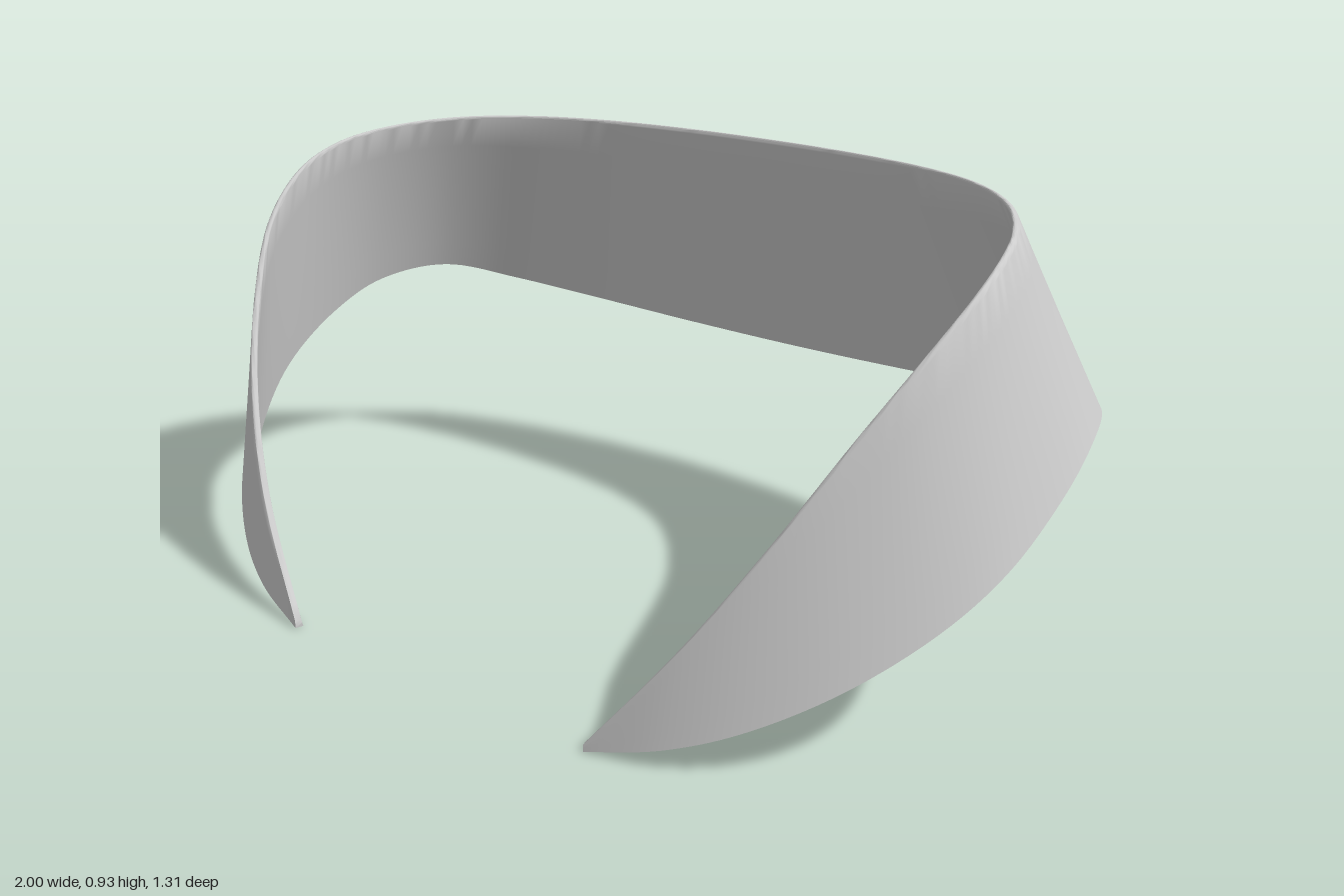
import * as THREE from 'three';
import { toCreasedNormals } from 'three/addons/utils/BufferGeometryUtils.js';

// Half of each outer edge, from centre back round to the left front tip
const LOWER = [
  [0, 0.39, -0.655], [0.3, 0.4, -0.636], [0.6, 0.43, -0.575], [0.8, 0.468, -0.48],
  [0.92, 0.513, -0.33], [0.982, 0.5, -0.15], [1, 0.445, 0], [0.985, 0.355, 0.17],
  [0.93, 0.272, 0.3], [0.82, 0.175, 0.44], [0.68, 0.092, 0.55], [0.55, 0.04, 0.614], [0.4, 0, 0.655],
];
const UPPER = [
  [0, 0.93, -0.457], [0.22, 0.93, -0.448], [0.44, 0.93, -0.411], [0.61, 0.93, -0.34],
  [0.75, 0.928, -0.216], [0.84, 0.914, -0.07], [0.878, 0.89, 0.05], [0.886, 0.845, 0.16],
  [0.857, 0.755, 0.28], [0.79, 0.62, 0.388], [0.695, 0.44, 0.492], [0.57, 0.24, 0.58], [0.4, 0.016, 0.655],
];

// Mirrors a half edge into one smooth curve from right tip to left tip
function edgeCurve(half) {
  const left = half.map(p => new THREE.Vector3(...p));
  const right = half.slice(1).reverse().map(([x, y, z]) => new THREE.Vector3(-x, y, z));
  return new THREE.CatmullRomCurve3([...right, ...left]);
}

// Cross-section as [height fraction, thickness fraction]: outer face, rounded rim, inner face
function sectionProfile() {
  const profile = [];
  const faceSteps = 6, rimSteps = 8, rimStart = 0.98;
  for (let k = 0; k < faceSteps; k++) profile.push([rimStart * k / faceSteps, 0]);
  for (let k = 0; k <= rimSteps; k++) {
    const a = Math.PI * k / rimSteps;
    profile.push([rimStart + (1 - rimStart) * Math.sin(a), (1 - Math.cos(a)) / 2]);
  }
  for (let k = faceSteps - 1; k >= 0; k--) profile.push([rimStart * k / faceSteps, 1]);
  return profile;
}

function bandGeometry() {
  const lower = edgeCurve(LOWER), upper = edgeCurve(UPPER);
  const profile = sectionProfile();
  const n = profile.length, steps = 192;
  const positions = [], index = [];

  for (let i = 0; i <= steps; i++) {
    const t = i / steps;
    const b = lower.getPoint(t), top = upper.getPoint(t);
    const tan = lower.getTangent(t);
    const inward = new THREE.Vector3(-tan.z, 0, tan.x).normalize();
    // Thinner at the rim and towards the two tips
    const tip = Math.pow(Math.abs(2 * t - 1), 4);
    const thickLow = THREE.MathUtils.lerp(0.03, 0.018, tip);
    for (const [h, w] of profile) {
      const p = b.clone().lerp(top, h);
      p.addScaledVector(inward, w * THREE.MathUtils.lerp(thickLow, 0.014, h));
      positions.push(p.x, p.y, p.z);
    }
  }

  // Skin around the section and along the band
  for (let i = 0; i < steps; i++) {
    for (let k = 0; k < n; k++) {
      const a = i * n + k, b = i * n + (k + 1) % n;
      index.push(a, b, a + n, b, b + n, a + n);
    }
  }
  // Flat ends at the tips
  const last = steps * n;
  for (let k = 1; k < n - 1; k++) {
    index.push(0, k + 1, k);
    index.push(last, last + k, last + k + 1);
  }

  const geometry = new THREE.BufferGeometry();
  geometry.setAttribute('position', new THREE.Float32BufferAttribute(positions, 3));
  geometry.setIndex(index);
  return toCreasedNormals(geometry, 0.8);
}

export function createModel() {
  const group = new THREE.Group();
  group.name = 'collar';
  const band = new THREE.Mesh(bandGeometry(), new THREE.MeshStandardMaterial({ color: 0xcccccc }));
  band.name = 'collarBand';
  group.add(band);
  return group;
}
